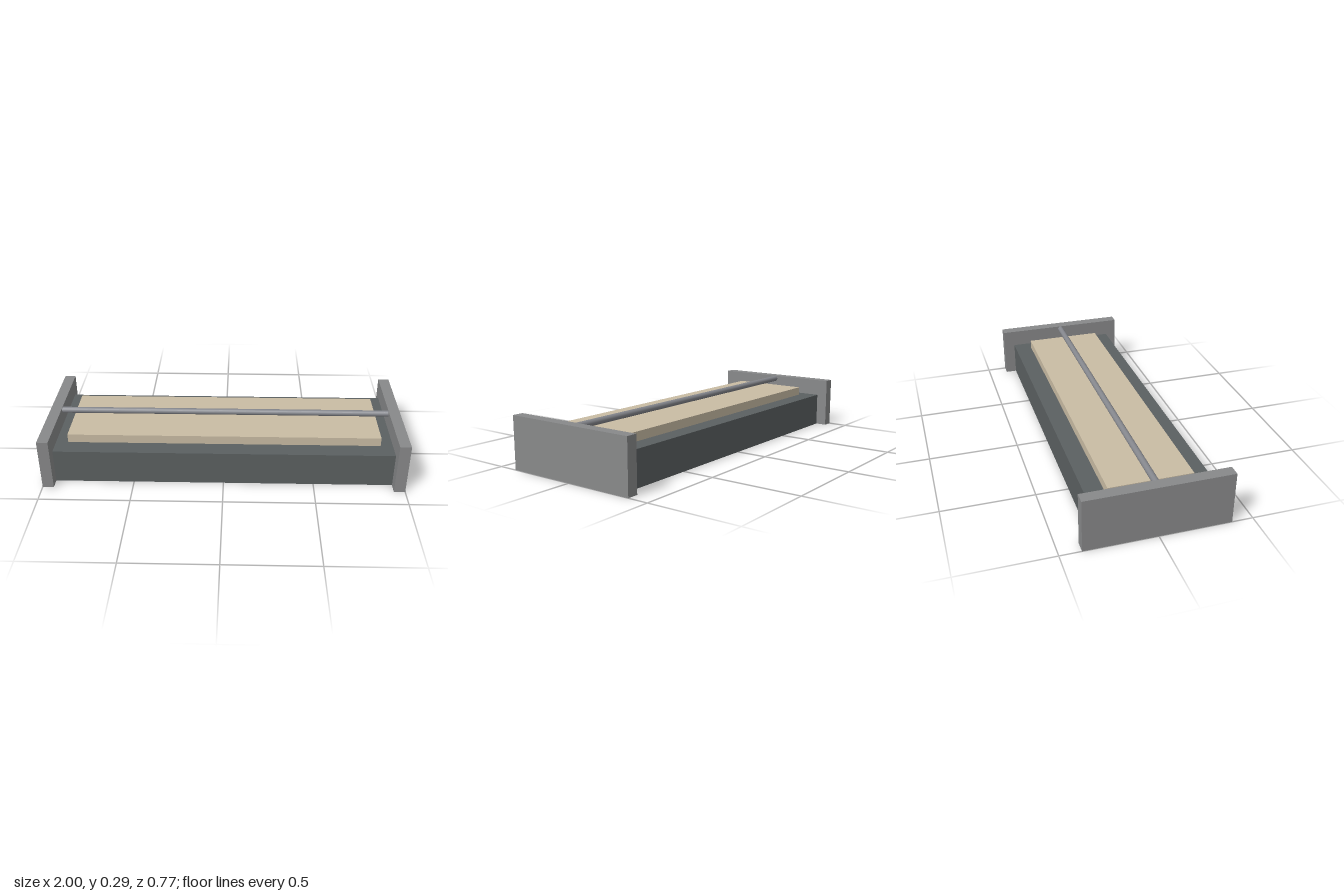
import * as THREE from 'three';

export function createModel() {
  const model = new THREE.Group();
  const material = (name, color) => {
    const m = new THREE.MeshStandardMaterial({ color });
    m.name = name;
    return m;
  };
  const darkGrey = material('dark grey', 0x5b6061);
  const midGrey = material('mid grey', 0x88898a);
  const beige = material('beige', 0xc9bca4);
  const steel = material('steel grey', 0x85878d);

  const add = (name, geometry, mat, x, y, z) => {
    const mesh = new THREE.Mesh(geometry, mat);
    mesh.name = name;
    mesh.position.set(x, y, z);
    model.add(mesh);
    return mesh;
  };

  // Long base block and the raised panel lying on it
  add('base', new THREE.BoxGeometry(1.88, 0.193, 0.646), darkGrey, 0, 0.0965, 0);
  add('topPanel', new THREE.BoxGeometry(1.74, 0.049, 0.446), beige, 0, 0.2175, 0);

  // Upright plates closing both ends
  for (const side of [-1, 1]) {
    add(side > 0 ? 'leftEndPlate' : 'rightEndPlate',
      new THREE.BoxGeometry(0.062, 0.29, 0.774), midGrey, side * 0.969, 0.145, 0);
  }

  // Round bar spanning the end plates above the panel
  const bar = add('crossBar', new THREE.CylinderGeometry(0.0175, 0.0175, 1.88, 16), steel, 0, 0.272, 0);
  bar.rotation.z = Math.PI / 2;

  return model;
}
